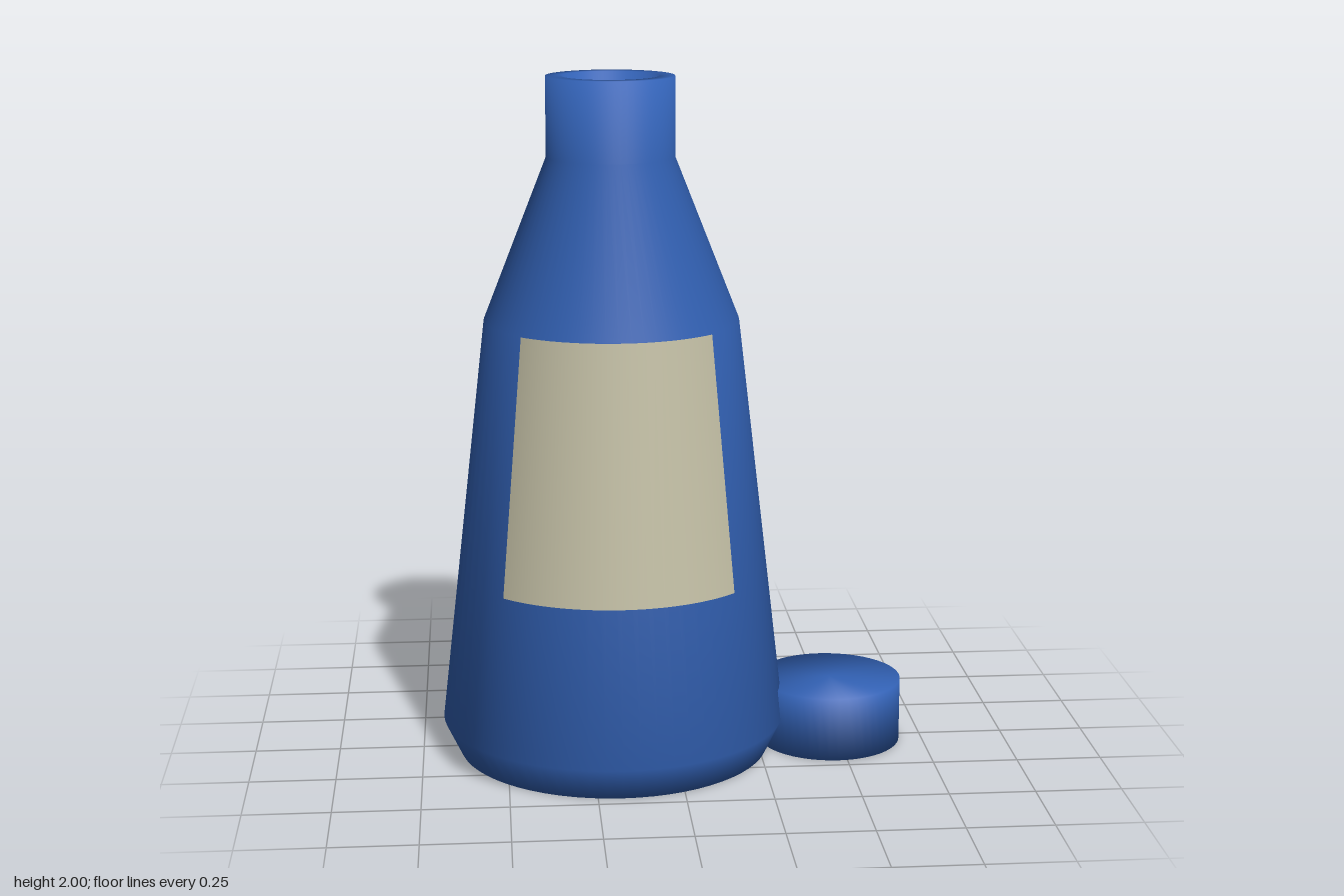
import * as THREE from 'three';

const blue = new THREE.MeshStandardMaterial({ color: 0x3261b4 });
blue.name = 'bottleBlue';
const cream = new THREE.MeshStandardMaterial({ color: 0xc4c0a6, side: THREE.DoubleSide });
cream.name = 'labelCream';

// Solid of revolution whose normals are the even average of neighbouring profile segments
function smoothLathe(profile, segments) {
  const points = profile.map(([r, y]) => new THREE.Vector2(r, y));
  const geometry = new THREE.LatheGeometry(points, segments);
  const edges = points.slice(1).map((p, i) => {
    const d = p.clone().sub(points[i]).normalize();
    return new THREE.Vector2(d.y, -d.x);
  });
  const normals = points.map((p, i) => {
    const n = new THREE.Vector2();
    if (edges[i - 1]) n.add(edges[i - 1]);
    if (edges[i]) n.add(edges[i]);
    return n.normalize();
  });
  const attribute = geometry.attributes.normal;
  for (let i = 0; i <= segments; i++) {
    const a = (i / segments) * Math.PI * 2;
    normals.forEach((n, j) => {
      attribute.setXYZ(i * points.length + j, n.x * Math.sin(a), n.y, n.x * Math.cos(a));
    });
  }
  return geometry;
}

function addMesh(parent, name, geometry, material) {
  const mesh = new THREE.Mesh(geometry, material);
  mesh.name = name;
  parent.add(mesh);
  return mesh;
}

export function createModel() {
  const model = new THREE.Group();
  model.name = 'bottleWithCap';

  const bottle = new THREE.Group();
  bottle.name = 'bottle';
  bottle.position.x = -0.18;
  model.add(bottle);

  // Bevelled base, tapering body, shoulder, neck and hollow mouth
  addMesh(bottle, 'bottleBody', smoothLathe([
    [0, 0], [0.46, 0], [0.508, 0.1], [0.37, 1.3], [0.185, 1.77],
    [0.185, 2], [0.14, 2], [0.14, 1.7], [0, 1.7],
  ], 64), blue);

  // Label wrapped round the front quarter of the body
  const label = addMesh(bottle, 'label',
    new THREE.CylinderGeometry(0.379, 0.465, 0.74, 24, 1, true, -Math.PI / 4, Math.PI / 2), cream);
  label.position.y = 0.93;

  // Cap lying beside the bottle
  const cap = addMesh(model, 'cap',
    smoothLathe([[0, 0], [0.213, 0], [0.213, 0.19], [0, 0.19]], 48), blue);
  cap.position.x = 0.472;

  return model;
}
